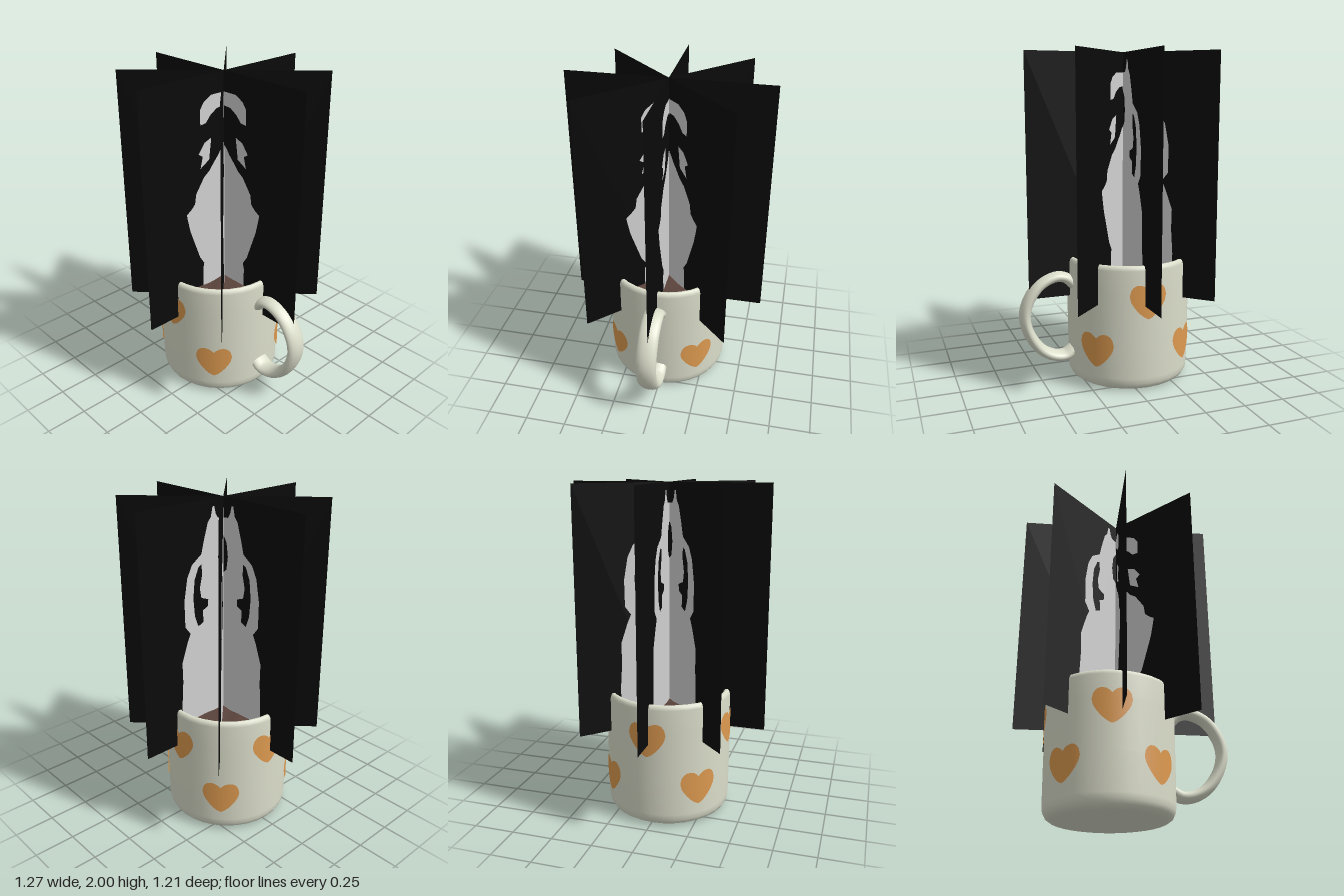
import * as THREE from 'three';

const mat = (name, color, side = THREE.FrontSide) => {
  const m = new THREE.MeshStandardMaterial({ color, side });
  m.name = name;
  return m;
};
const v2 = (pts) => pts.map(([x, y]) => new THREE.Vector2(x, y));

export function createModel() {
  const cream = mat('cream glaze', 0xdcdecb);
  const orange = mat('orange heart', 0xdd9a50, THREE.DoubleSide);
  const brown = mat('cocoa brown', 0x5a433b);
  const black = mat('black panel', 0x0a0a0a, THREE.DoubleSide);
  const grey = mat('steam grey', 0xd0d0d0, THREE.DoubleSide);

  const model = new THREE.Group();
  model.name = 'steamingMug';
  const add = (parent, name, geo, material) => {
    const mesh = new THREE.Mesh(geo, material);
    mesh.name = name;
    parent.add(mesh);
    return mesh;
  };

  // Mug: body, drink, handle and hearts share one centre
  const mug = new THREE.Group();
  mug.name = 'mug';
  mug.position.set(-0.07, 0, 0.007);
  model.add(mug);

  const profile = v2([
    [0, 0], [0.3, 0], [0.315, 0], [0.34, 0.005], [0.362, 0.02], [0.375, 0.045], [0.379, 0.08],
    [0.382, 0.3], [0.384, 0.6], [0.384, 0.742], [0.379, 0.759], [0.37, 0.769], [0.361, 0.77],
    [0.352, 0.767], [0.344, 0.757], [0.341, 0.742], [0.34, 0.5], [0.336, 0.1], [0.31, 0.06], [0, 0.055],
  ]);
  add(mug, 'mugBody', new THREE.LatheGeometry(profile, 32), cream);

  // Gently rippled drink surface
  const drink = new THREE.RingGeometry(0.001, 0.342, 40, 14);
  drink.rotateX(-Math.PI / 2);
  const dp = drink.attributes.position;
  for (let i = 0; i < dp.count; i++) {
    const x = dp.getX(i), z = dp.getZ(i);
    dp.setY(i, 0.003 * Math.sin(23 * x + 9 * z) * Math.cos(27 * z - 8 * x) + 0.0015 * Math.sin(51 * x - 37 * z));
  }
  drink.computeVertexNormals();
  add(mug, 'drink', drink, brown).position.y = 0.67;

  // Handle: a tube widened sideways
  const path = new THREE.CatmullRomCurve3([
    [0.295, 0.605], [0.34, 0.645], [0.4, 0.657], [0.5, 0.615], [0.575, 0.515], [0.598, 0.42],
    [0.575, 0.315], [0.505, 0.208], [0.425, 0.158], [0.35, 0.15], [0.295, 0.18],
  ].map(([x, y]) => new THREE.Vector3(x + 0.07, y, 0)));
  const tube = new THREE.TubeGeometry(path, 48, 0.034, 16, false);
  tube.scale(1, 1, 1.88);
  add(mug, 'handle', tube, cream);

  // Hearts: columns [half width, top, bottom] wrapped around the wall
  const half = [
    [0, 0.072, -0.105], [0.012, 0.085, -0.1], [0.03, 0.097, -0.09], [0.052, 0.103, -0.071], [0.075, 0.101, -0.046],
    [0.093, 0.09, -0.022], [0.107, 0.071, 0.002], [0.115, 0.038, 0.034],
  ];
  const columns = [...half.slice(1).reverse().map(([u, t, b]) => [-u, t, b]), ...half];
  const heart = (degrees, y) => {
    const pos = [], idx = [], r = 0.387;
    columns.forEach(([u, top, bottom], i) => {
      const a = THREE.MathUtils.degToRad(degrees) + u / r;
      for (const h of [bottom, top]) pos.push(r * Math.sin(a), y + h, r * Math.cos(a));
      if (i) idx.push(2 * i - 2, 2 * i, 2 * i - 1, 2 * i, 2 * i + 1, 2 * i - 1);
    });
    const geo = new THREE.BufferGeometry();
    geo.setAttribute('position', new THREE.Float32BufferAttribute(pos, 3));
    geo.setIndex(idx);
    geo.computeVertexNormals();
    add(mug, 'heart', geo, orange);
  };
  for (const a of [-3, 178, 267]) heart(a, 0.555);
  for (const a of [-46, 41, 130, 221]) heart(a, 0.248);

  // Steam outlines: [distance from axis as seen at 45 degrees, height]
  const shape = (pts) => new THREE.Shape(v2(pts.map(([d, y]) => [d * Math.SQRT2, y])));
  const tall = shape([
    [0, 0.6], [0.235, 0.6], [0.235, 0.8], [0.228, 0.95], [0.23, 1.07], [0.215, 1.13], [0.2, 1.19], [0.183, 1.24],
    [0.21, 1.29], [0.212, 1.45], [0.195, 1.58], [0.17, 1.65], [0.12, 1.7], [0.105, 1.78], [0.085, 1.87],
    [0.068, 1.9], [0.06, 1.955], [0.05, 1.955], [0.042, 1.91], [0.03, 1.885], [0, 1.88],
    [0, 1.79], [0.022, 1.74], [0.03, 1.66], [0.022, 1.58], [0, 1.555],
  ]);
  tall.holes.push(new THREE.Path(v2([
    [0.14, 1.27], [0.158, 1.34], [0.165, 1.45], [0.157, 1.56], [0.135, 1.63], [0.12, 1.64], [0.117, 1.58],
    [0.13, 1.5], [0.122, 1.44], [0.085, 1.42], [0.088, 1.38], [0.115, 1.36], [0.112, 1.29],
  ].map(([d, y]) => [d * Math.SQRT2, y]))));
  const broken = [
    shape([
      [0, 0.6], [0.128, 0.6], [0.128, 0.79], [0.122, 0.83], [0.145, 0.88], [0.165, 0.96], [0.195, 1.08], [0.208, 1.16],
      [0.213, 1.2], [0.19, 1.22], [0.167, 1.25], [0.16, 1.31], [0.135, 1.36], [0.115, 1.4], [0.085, 1.43],
      [0.058, 1.475], [0.035, 1.51], [0.015, 1.55], [0, 1.56],
    ]),
    shape([[0.072, 1.63], [0.11, 1.61], [0.142, 1.55], [0.12, 1.53], [0.133, 1.46], [0.085, 1.5], [0.08, 1.55]]),
    shape([
      [0, 1.88], [0.07, 1.88], [0.11, 1.85], [0.13, 1.81], [0.13, 1.72], [0.1, 1.725], [0.075, 1.765],
      [0.04, 1.795], [0, 1.8],
    ]),
  ];
  const tallGeo = new THREE.ShapeGeometry(tall);
  const brokenGeo = new THREE.ShapeGeometry(broken);

  // Eight upright panels around the steam axis, each with steam on both faces
  const panelGeo = new THREE.PlaneGeometry(0.605, 1.47).translate(0.3025, 1.265, 0);
  const steam = new THREE.Group();
  steam.name = 'steam';
  steam.position.x = -0.035;
  model.add(steam);
  for (let i = 0; i < 8; i++) {
    const arm = new THREE.Group();
    arm.name = 'steamPanel';
    arm.rotation.y = (i * Math.PI) / 4 - Math.PI / 2;
    steam.add(arm);
    add(arm, 'panel', panelGeo, black);
    for (const z of [-0.003, 0.003]) add(arm, 'steamShape', i < 4 ? brokenGeo : tallGeo, grey).position.z = z;
  }
  return model;
}
